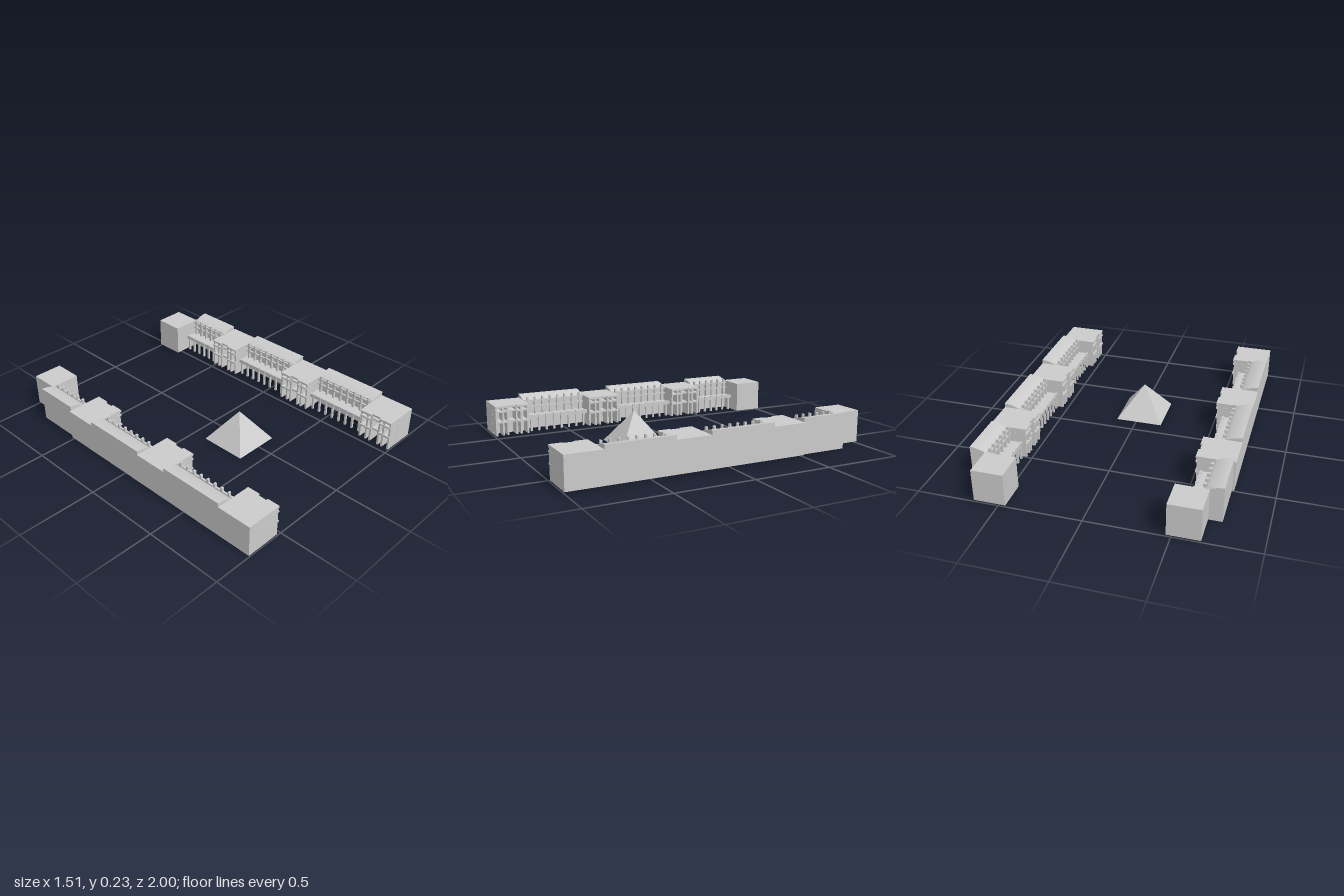
import * as THREE from 'three';

const material = new THREE.MeshStandardMaterial({ color: 0xcccccc, flatShading: true, side: THREE.DoubleSide });

function add(parent, name, geometry) {
  const mesh = new THREE.Mesh(geometry, material);
  mesh.name = name;
  parent.add(mesh);
  return mesh;
}

// Box given by its limits; s = 1 or -1 mirrors it in x
function block(parent, name, s, x0, x1, y0, y1, z0, z1) {
  const mesh = add(parent, name, new THREE.BoxGeometry(x1 - x0, y1 - y0, z1 - z0));
  mesh.position.set(s * (x0 + x1) / 2, (y0 + y1) / 2, (z0 + z1) / 2);
}

// Pavilion: solid rear, projecting piers, ledges and a notched roof slab
function pavilion(s, z0, z1) {
  const g = new THREE.Group();
  g.name = 'pavilion';
  const mid = (z0 + z1) / 2;
  block(g, 'pavilionBody', s, 0.61, 0.757, 0.01, 0.195, z0, z1);
  const piers = [z0 + 0.007, mid - 0.06, mid - 0.03, mid + 0.03, mid + 0.06, z1 - 0.007];
  for (const z of piers) {
    block(g, 'pier', s, 0.53, 0.61, 0.01, 0.195, z - 0.006, z + 0.006);
  }
  // Ledges and roof step back in the middle bay
  for (const [name, y0, y1] of [['ledge', 0.095, 0.107], ['ledge', 0.165, 0.175], ['pavilionRoof', 0.195, 0.208]]) {
    block(g, name, s, name === 'ledge' ? 0.6 : 0.54, name === 'ledge' ? 0.61 : 0.757, y0, y1, z0, z1);
    block(g, name, s, name === 'ledge' ? 0.54 : 0.535, 0.6, y0, y1, mid - 0.03, mid + 0.03);
    for (const [a, b] of [[z0, mid - 0.03], [mid + 0.03, z1]]) {
      block(g, name, s, 0.522, 0.6, y0, y1, a, b);
    }
  }
  return g;
}

// Gallery: rear hall with a curved roof, upper colonnade and lower arcade
function gallery(s, z0, z1, shift) {
  const g = new THREE.Group();
  g.name = 'gallery';
  g.position.x = -s * shift;
  const length = z1 - z0;

  const profile = new THREE.Shape();
  profile.moveTo(s * 0.657, 0.01);
  profile.lineTo(s * 0.757, 0.01);
  profile.lineTo(s * 0.757, 0.234);
  profile.quadraticCurveTo(s * 0.705, 0.232, s * 0.657, 0.207);
  profile.closePath();
  const hall = add(g, 'hall', new THREE.ExtrudeGeometry(profile, { depth: length, bevelEnabled: false, curveSegments: 8 }));
  hall.position.z = z0;

  // Terrace and its edge beam
  block(g, 'terrace', s, 0.575, 0.657, 0.103, 0.112, z0, z1);
  block(g, 'terraceBeam', s, 0.567, 0.58, 0.095, 0.118, z0, z1);
  // Rails of the upper colonnade
  for (const y of [0.16, 0.198]) block(g, 'rail', s, 0.637, 0.65, y, y + 0.009, z0, z1);

  const count = Math.round(length / 0.052);
  for (let i = 0; i < count; i++) {
    const z = z0 + (i + 0.5) * length / count;
    block(g, 'upperColumn', s, 0.635, 0.652, 0.112, 0.229, z - 0.006, z + 0.006);
    block(g, 'lowerColumn', s, 0.563, 0.577, 0.01, 0.122, z - 0.006, z + 0.006);
  }
  return g;
}

function wing(s) {
  const g = new THREE.Group();
  g.name = s > 0 ? 'leftWing' : 'rightWing';
  g.position.x = -0.002;
  for (const [z0, z1] of [[-0.51, -0.29], [0.13, 0.352], [0.776, 1]]) g.add(pavilion(s, z0, z1));
  for (const [z0, z1, shift] of [[-0.81, -0.51, 0.013], [-0.29, 0.13, 0], [0.352, 0.776, 0]]) {
    g.add(gallery(s, z0, z1, shift));
  }
  const inner = s > 0 ? 0.457 : 0.47;
  block(g, 'endBlock', s, inner, inner + 0.193, 0.01, 0.213, -1, -0.81);
  return g;
}

export function createModel() {
  const model = new THREE.Group();
  model.name = 'palaceCourt';
  model.add(wing(1), wing(-1));

  // Square pyramid in the court
  const pyramid = add(model, 'pyramid',
    new THREE.ConeGeometry(0.15 * Math.SQRT2, 0.208, 4, 1).rotateY(Math.PI / 4));
  pyramid.position.set(-0.019, 0.104, 0.247);
  return model;
}
